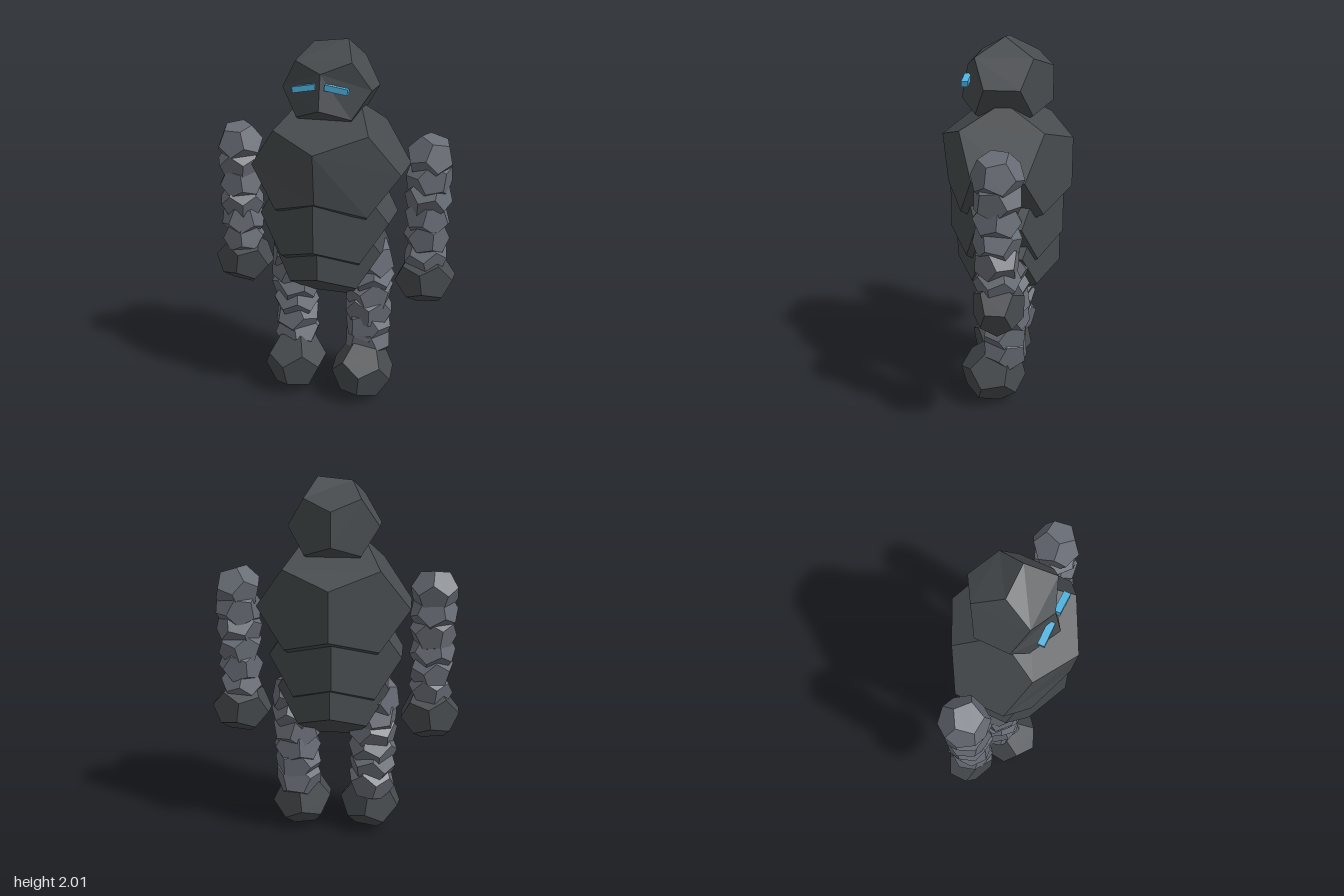
import * as THREE from 'three';

const darkStone = new THREE.MeshStandardMaterial({ name: 'darkStone', color: 0x474b4e, flatShading: true });
const paleStone = new THREE.MeshStandardMaterial({ name: 'paleStone', color: 0x686c75, flatShading: true });
const glowBlue = new THREE.MeshStandardMaterial({ name: 'glowBlue', color: 0x4fb3e0 });

// Small seeded generator for rock tilts
function seeded(seed) {
  let s = seed;
  return () => {
    s = (s * 16807) % 2147483647;
    return s / 2147483647;
  };
}

// A twelve-sided boulder: turned, stretched to its radii, optionally nudged by a rule
function rock(name, material, pos, radii, turn = [0, 0, 0], nudge) {
  const geo = new THREE.DodecahedronGeometry(1);
  geo.rotateX(turn[0]).rotateY(turn[1]).rotateZ(turn[2]);
  geo.scale(...radii);
  if (nudge) {
    const p = geo.attributes.position;
    const v = new THREE.Vector3();
    for (let i = 0; i < p.count; i++) {
      v.fromBufferAttribute(p, i);
      nudge(v);
      p.setXYZ(i, v.x, v.y, v.z);
    }
  }
  geo.computeVertexNormals();
  const mesh = new THREE.Mesh(geo, material);
  mesh.name = name;
  mesh.position.set(...pos);
  return mesh;
}

// A stack of overlapping rocks between two points
function rockChain(name, from, to, count, r0, r1, seed) {
  const group = new THREE.Group();
  group.name = name;
  const rand = seeded(seed);
  const a = new THREE.Vector3(...from);
  const b = new THREE.Vector3(...to);
  for (let i = 0; i < count; i++) {
    const t = i / (count - 1);
    const c = a.clone().lerp(b, t);
    const r = r0 + (r1 - r0) * t;
    const turn = [rand() * 6.28, rand() * 6.28, rand() * 6.28];
    group.add(rock(name + 'Rock', paleStone, c.toArray(), [r, r, r], turn));
  }
  return group;
}

export function createModel() {
  const model = new THREE.Group();
  model.name = 'stoneGolem';

  // Head, with the brow set slightly back
  model.add(rock('head', darkStone, [0, 1.77, 0], [0.255, 0.25, 0.257], [0, 0, 0], (v) => {
    if (v.z > 0.2 && v.y > 0) v.z -= 0.035;
    if (v.y > 0.2) v.y += v.x * 0.1;
  }));

  // Torso: three stacked boulders
  model.add(rock('chest', darkStone, [0, 1.35, 0], [0.437, 0.37, 0.374], [0, 0, 0], (v) => {
    if (v.z > 0.3 && v.y < 0) v.z -= 0.025;
  }));
  model.add(rock('belly', darkStone, [-0.01, 1.08, 0.005], [0.382, 0.365, 0.332]));
  model.add(rock('hips', darkStone, [0, 0.9, -0.005], [0.325, 0.325, 0.306]));

  for (const side of [1, -1]) {
    const label = side > 0 ? 'left' : 'right';
    const seed = side > 0 ? 7321 : 4177;

    // Slanted eye bar
    const eye = new THREE.Mesh(new THREE.BoxGeometry(0.12, 0.03, 0.035), glowBlue);
    eye.name = label + 'Eye';
    eye.position.set(side * 0.084, 1.788, 0.201);
    eye.rotation.z = -side * 0.16;
    model.add(eye);

    // Arm and fist
    model.add(rockChain(label + 'Arm', [side * 0.53, 1.42, -0.015], [side * 0.525, 0.88, -0.01], 6, 0.132, 0.122, seed));
    model.add(rock(label + 'Fist', darkStone, [side * 0.525, 0.745, -0.018], [0.17, 0.155, 0.138], [0, 0, side * 0.12]));

    // Leg and foot
    model.add(rockChain(label + 'Leg', [side * 0.22, 0.82, -0.015], [side * 0.21, 0.33, -0.015], 6, 0.142, 0.135, seed + 911));
    model.add(rock(label + 'Foot', darkStone, [side * 0.2, 0.17, 0.055], [0.178, 0.176, 0.183], [0.2, side * 0.1, -side * 0.1]));
  }

  return model;
}
